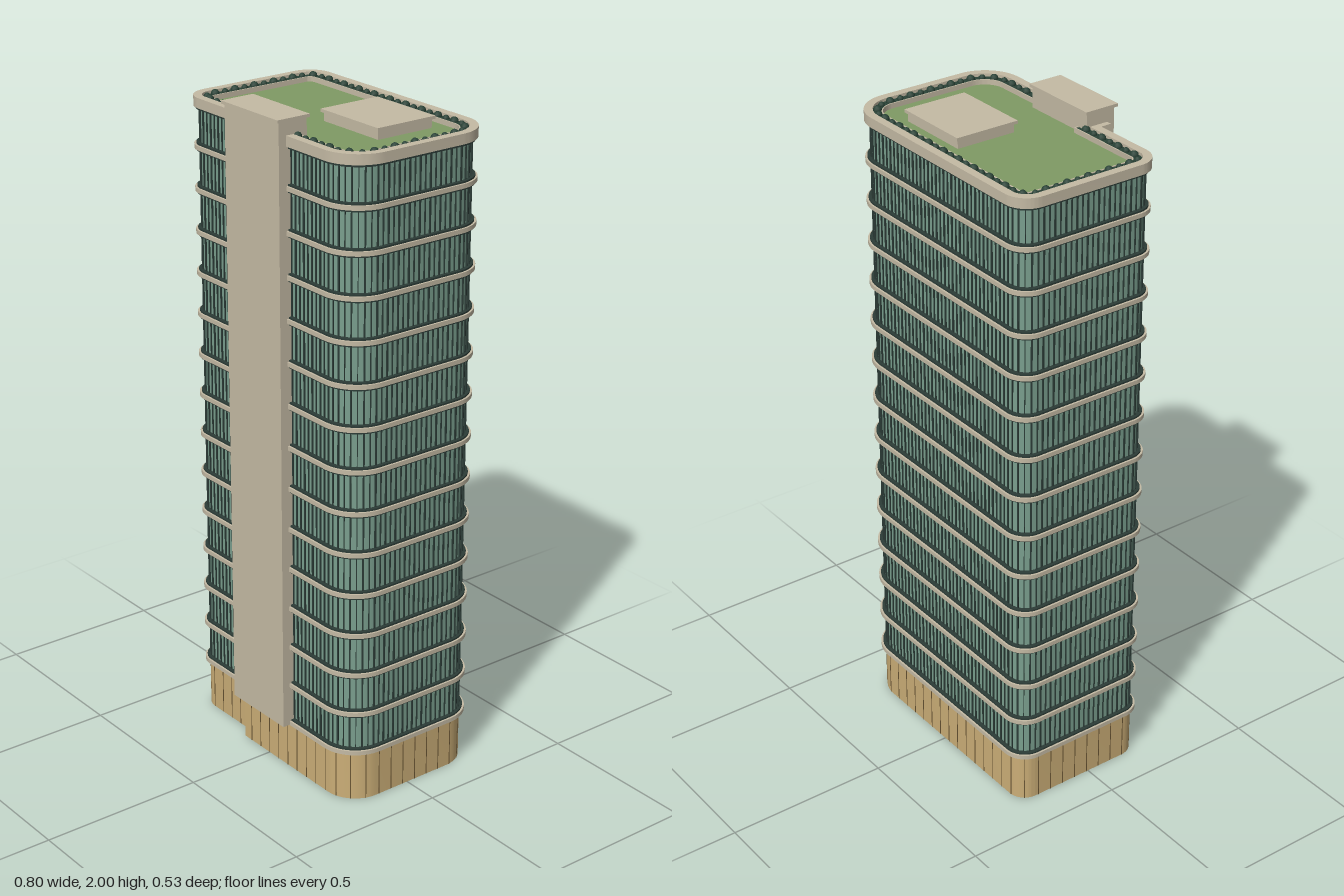
import * as THREE from 'three';
import { toCreasedNormals } from 'three/addons/utils/BufferGeometryUtils.js';

const paint = (name, color) => {
  const m = new THREE.MeshStandardMaterial({ color });
  m.name = name;
  return m;
};

// Floor plan outline moved inwards by d: wide right corners, tight left ones, a step in the front
function plan(d, Type = THREE.Shape) {
  const L = -0.4 + d, R = 0.4 - d, back = 0.267 - d;
  const front = -0.233 + d, frontLeft = -0.2 + d, step = -0.139 + d;
  const rl = 0.07 - d, rr = 0.115 - d, q = Math.PI / 2;
  const s = new Type();
  s.moveTo(step, frontLeft);
  s.lineTo(step, front);
  s.lineTo(R - rr, front);
  s.absarc(R - rr, front + rr, rr, -q, 0, false);
  s.lineTo(R, back - rr);
  s.absarc(R - rr, back - rr, rr, 0, q, false);
  s.lineTo(L + rl, back);
  s.absarc(L + rl, back - rl, rl, q, 2 * q, false);
  s.lineTo(L, frontLeft + rl);
  s.absarc(L + rl, frontLeft + rl, rl, 2 * q, 3 * q, false);
  s.lineTo(step, frontLeft);
  return s;
}

// Solid slab (no inner offset) or hollow ring between two offsets of the plan
function slab(outer, inner, y0, y1) {
  const s = plan(outer);
  if (inner) s.holes.push(plan(inner, THREE.Path));
  const g = new THREE.ExtrudeGeometry(s, { depth: y1 - y0, bevelEnabled: false, curveSegments: 10 });
  g.rotateX(-Math.PI / 2);
  g.translate(0, y0, 0);
  return toCreasedNormals(g, 0.5);
}

// Evenly spaced spots along the plan outline, with the heading of the wall
function spotsAlong(d, spacing) {
  const path = plan(d);
  const n = Math.round(path.getLength() / spacing / 2) * 2;
  return Array.from({ length: n }, (_, i) => {
    const t = (i + 0.5) / n, p = path.getPoint(t), v = path.getTangent(t);
    return { x: p.x, z: -p.y, angle: Math.atan2(v.y, v.x) };
  });
}

export function createModel() {
  const stone = paint('stone', 0xc4baa4);
  const glass = paint('glass', 0x7a9f8e);
  const frame = paint('frame', 0x2c3c37);
  const cladding = paint('cladding', 0xcbae77);
  const seam = paint('seam', 0x6b5634);
  const lawn = paint('lawn', 0x7f9a64);
  const hedge = paint('hedge', 0x2a4337);

  const model = new THREE.Group();
  model.name = 'tower';
  const add = (name, geometry, material, parent = model) => {
    const mesh = new THREE.Mesh(geometry, material);
    mesh.name = name;
    parent.add(mesh);
    return mesh;
  };
  const group = (name) => {
    const g = new THREE.Group();
    g.name = name;
    model.add(g);
    return g;
  };
  const box = (name, x0, x1, y0, y1, z0, z1, material, parent) => {
    const mesh = add(name, new THREE.BoxGeometry(x1 - x0, y1 - y0, z1 - z0), material, parent);
    mesh.position.set((x0 + x1) / 2, (y0 + y1) / 2, (z0 + z1) / 2);
  };

  // Hollow ground floor and glazed shaft
  const baseTop = 0.155, roofY = 1.925;
  add('baseWall', slab(0.015, 0.021, 0, baseTop), cladding);
  add('glassWall', slab(0.018, 0.022, baseTop, roofY), glass);

  // Upright strips on the walls
  const strips = (name, d, spacing, y0, y1, widths, depth, material) => {
    const parent = group(name);
    const shapes = widths.map((w) => new THREE.BoxGeometry(w, y1 - y0, depth));
    spotsAlong(d, spacing).forEach((s, i) => {
      const strip = add('strip', shapes[i % shapes.length], material, parent);
      strip.position.set(s.x, (y0 + y1) / 2, s.z);
      strip.rotation.y = s.angle;
    });
  };
  strips('mullions', 0.017, 0.018, baseTop, roofY, [0.0045, 0.0025], 0.006, frame);
  strips('baseSeams', 0.015, 0.045, 0, baseTop, [0.0025], 0.002, seam);

  // Stone ledge with dark trim at every floor
  const ledges = group('floorLedges');
  for (let i = 0; i < 14; i++) {
    const y = 0.16 + i * 0.1265;
    add('ledge', slab(0, 0.022, y - 0.006, y + 0.007), stone, ledges);
    add('ledgeTrim', slab(0.006, 0.022, y - (i ? 0.012 : 0.007), y + 0.012), frame, ledges);
  }

  // Roof: parapet, planted trough, curb and lawn
  add('parapet', slab(0, 0.025, 1.922, 1.952), stone);
  add('parapetTrim', slab(0.006, 0.025, 1.915, 1.923), frame);
  add('lawn', slab(0.02, 0, 1.915, 1.93), lawn);
  add('hedgeTrough', slab(0.0245, 0.05, 1.928, 1.943), hedge);
  add('curb', slab(0.0495, 0.053, 1.928, 1.945), stone);

  const bushes = group('bushes');
  const ball = new THREE.IcosahedronGeometry(1, 1);
  spotsAlong(0.0375, 0.035).forEach((s, i) => {
    const bush = add('bush', ball, hedge, bushes);
    bush.scale.setScalar(i % 2 ? 0.0125 : 0.0095);
    bush.position.set(s.x, 1.945, s.z);
  });

  // Rooftop plant room with an overhanging lid
  box('plantRoom', 0.012, 0.246, 1.92, 1.957, -0.17, 0.018, stone);
  box('plantRoomLid', 0.005, 0.253, 1.956, 1.965, -0.177, 0.025, stone);

  // Lift core rising up the front
  box('liftCore', -0.122, 0.122, 0.156, 1.992, 0.163, 0.257, stone);
  box('liftCoreLid', -0.128, 0.127, 1.991, 2, 0.156, 0.265, stone);
  return model;
}
